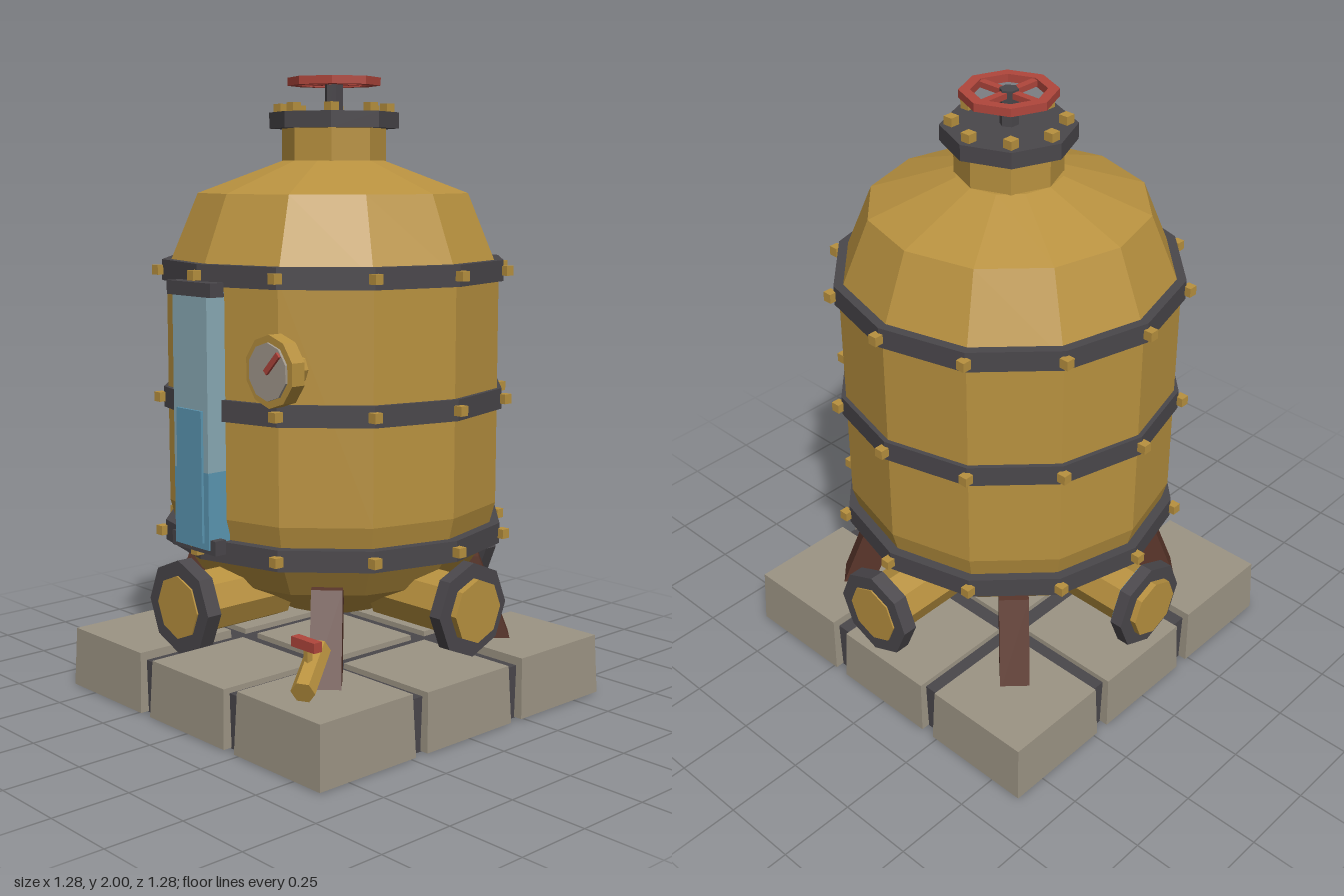
import * as THREE from 'three';

const mat = (name, color) => {
  const m = new THREE.MeshStandardMaterial({ color, flatShading: true });
  m.name = name;
  return m;
};

export function createModel() {
  const brass = mat('brass', 0xb8913f);
  const iron = mat('dark iron', 0x4a474b);
  const stone = mat('stone', 0x9c9484);
  const red = mat('red paint', 0xb0463c);
  const dialGrey = mat('dial grey', 0xa39a8e);
  const glass = mat('glass', 0x8aabb6);
  const water = mat('water', 0x5b97b3);
  const wood = mat('brown leg', 0x5a362b);

  const model = new THREE.Group();
  model.name = 'boilerTank';

  const add = (parent, name, geo, material, x = 0, y = 0, z = 0) => {
    const mesh = new THREE.Mesh(geo, material);
    mesh.name = name;
    mesh.position.set(x, y, z);
    parent.add(mesh);
    return mesh;
  };
  const group = (name) => {
    const g = new THREE.Group();
    g.name = name;
    model.add(g);
    return g;
  };
  const box = (w, h, d) => new THREE.BoxGeometry(w, h, d);
  const cyl = (r, h, sides) => new THREE.CylinderGeometry(r, r, h, sides);
  const disc = (r, h, sides) => cyl(r, h, sides).rotateX(Math.PI / 2); // axis along z

  // Stone plinth: nine tapered blocks over a darker bed
  const plinth = group('plinth');
  add(plinth, 'mortarBed', box(1.17, 0.17, 1.17), iron, 0, 0.085, 0);
  const spans = [[-0.615, -0.235], [-0.187, 0.187], [0.235, 0.615]];
  spans.forEach(([x0, x1], i) => spans.forEach(([z0, z1], k) => {
    const h = (i === 1 || k === 1 ? 0.187 : 0.197) - 0.003;
    const geo = box(x1 - x0, h, z1 - z0);
    const p = geo.attributes.position;
    for (let n = 0; n < p.count; n++) {
      if (p.getY(n) > 0) p.setXYZ(n, p.getX(n) * 0.96, p.getY(n), p.getZ(n) * 0.96);
    }
    add(plinth, 'stoneBlock', geo, stone, (x0 + x1) / 2, 0.003 + h / 2, (z0 + z1) / 2);
  }));

  // Twelve-sided tank body
  const profile = [[0, 0.31], [0.17, 0.31], [0.435, 0.44], [0.5, 0.54], [0.535, 0.67],
    [0.535, 1.4], [0.435, 1.64], [0.165, 1.74], [0, 1.74]];
  add(model, 'tank', new THREE.LatheGeometry(profile.map(([r, y]) => new THREE.Vector2(r, y)), 12), brass);

  // Iron hoops with square bolts
  const hoops = group('hoops');
  for (const y of [0.572, 1.003, 1.403]) {
    add(hoops, 'hoop', cyl(0.55, 0.065, 12), iron, 0, y, 0);
    for (let i = 0; i < 12; i++) {
      const a = i * Math.PI / 6;
      add(hoops, 'hoopBolt', box(0.03, 0.03, 0.03), brass, 0.56 * Math.sin(a), y, 0.56 * Math.cos(a));
    }
  }

  // Neck, top flange and handwheel
  const top = group('topValve');
  add(top, 'neck', cyl(0.165, 0.14, 8), brass, 0, 1.78, 0);
  add(top, 'topFlange', cyl(0.205, 0.05, 8), iron, 0, 1.865, 0);
  for (let i = 0; i < 8; i++) {
    const a = i * Math.PI / 4;
    add(top, 'flangeBolt', box(0.032, 0.03, 0.032), brass, 0.168 * Math.sin(a), 1.902, 0.168 * Math.cos(a));
  }
  add(top, 'spindle', cyl(0.029, 0.12, 6), iron, 0, 1.94, 0);
  const octagon = (r) => Array.from({ length: 8 }, (_, i) =>
    new THREE.Vector2(r * Math.cos(i * Math.PI / 4), r * Math.sin(i * Math.PI / 4)));
  const rim = new THREE.Shape(octagon(0.147));
  rim.holes.push(new THREE.Path(octagon(0.113)));
  const rimGeo = new THREE.ExtrudeGeometry(rim, { depth: 0.025, bevelEnabled: false }).rotateX(-Math.PI / 2);
  add(top, 'wheelRim', rimGeo, red, 0, 1.973, 0);
  add(top, 'wheelSpoke', box(0.25, 0.018, 0.024), red, 0, 1.985, 0);
  add(top, 'wheelSpoke', box(0.024, 0.018, 0.25), red, 0, 1.985, 0);

  // Four pipe stubs, with blue gaskets on the two sides
  for (let i = 0; i < 4; i++) {
    const pipe = group('pipeStub');
    const side = i % 2 === 1;
    pipe.rotation.y = i * Math.PI / 2;
    add(pipe, 'pipe', disc(0.098, 0.38, 8), brass, 0, 0.405, 0.45);
    add(pipe, 'pipeFlange', disc(0.145, side ? 0.042 : 0.05, 8), iron, 0, 0.405, side ? 0.598 : 0.61);
    if (side) add(pipe, 'gasket', disc(0.125, 0.012, 8), water, 0, 0.405, 0.572);
  }

  // Splayed diagonal legs
  for (let i = 0; i < 4; i++) {
    const leg = group('leg');
    leg.rotation.y = Math.PI / 4 + i * Math.PI / 2;
    const geo = box(0.095, 0.29, 0.105);
    const p = geo.attributes.position;
    for (let n = 0; n < p.count; n++) p.setZ(n, p.getZ(n) - p.getY(n) * 0.38);
    add(leg, 'legPost', geo, wood, 0, 0.325, 0.475);
  }

  // Sight glass with water level
  const sight = group('sightGlass');
  add(sight, 'glassUpper', box(0.165, 0.535, 0.08), glass, 0, 1.0875, 0.54);
  add(sight, 'glassLower', box(0.165, 0.235, 0.08), water, 0, 0.7025, 0.54);
  add(sight, 'waterColumn', box(0.12, 0.4, 0.008), water, 0, 0.805, 0.584);
  add(sight, 'upperBracket', box(0.212, 0.042, 0.05), iron, 0, 1.364, 0.558);
  add(sight, 'lowerBracket', box(0.212, 0.045, 0.04), iron, 0, 0.594, 0.555);

  // Pressure gauge
  const gauge = group('gauge');
  gauge.position.set(0.295, 1.14, 0);
  add(gauge, 'gaugeStem', disc(0.045, 0.08, 8), brass, 0, 0, 0.45);
  add(gauge, 'gaugeCase', disc(0.107, 0.047, 10), brass, 0, 0, 0.498);
  add(gauge, 'gaugeDial', disc(0.085, 0.008, 10), dialGrey, 0, 0, 0.525);
  const needle = add(gauge, 'gaugeNeedle', box(0.08, 0.018, 0.008), red, 0.027, 0.027, 0.533);
  needle.rotation.z = Math.PI / 4;

  // Drain tap with red lever
  const tap = group('drainTap');
  const from = new THREE.Vector3(0.4, 0.325, 0.425);
  const to = new THREE.Vector3(0.505, 0.255, 0.58);
  const dir = to.clone().sub(from);
  const spout = add(tap, 'spout', cyl(0.036, dir.length(), 6), brass);
  spout.position.copy(from).add(to).multiplyScalar(0.5);
  spout.quaternion.setFromUnitVectors(new THREE.Vector3(0, 1, 0), dir.normalize());
  add(tap, 'leverStem', box(0.018, 0.08, 0.018), brass, 0.45, 0.325, 0.512);
  add(tap, 'lever', box(0.1, 0.03, 0.03), red, 0.447, 0.37, 0.515);

  return model;
}
